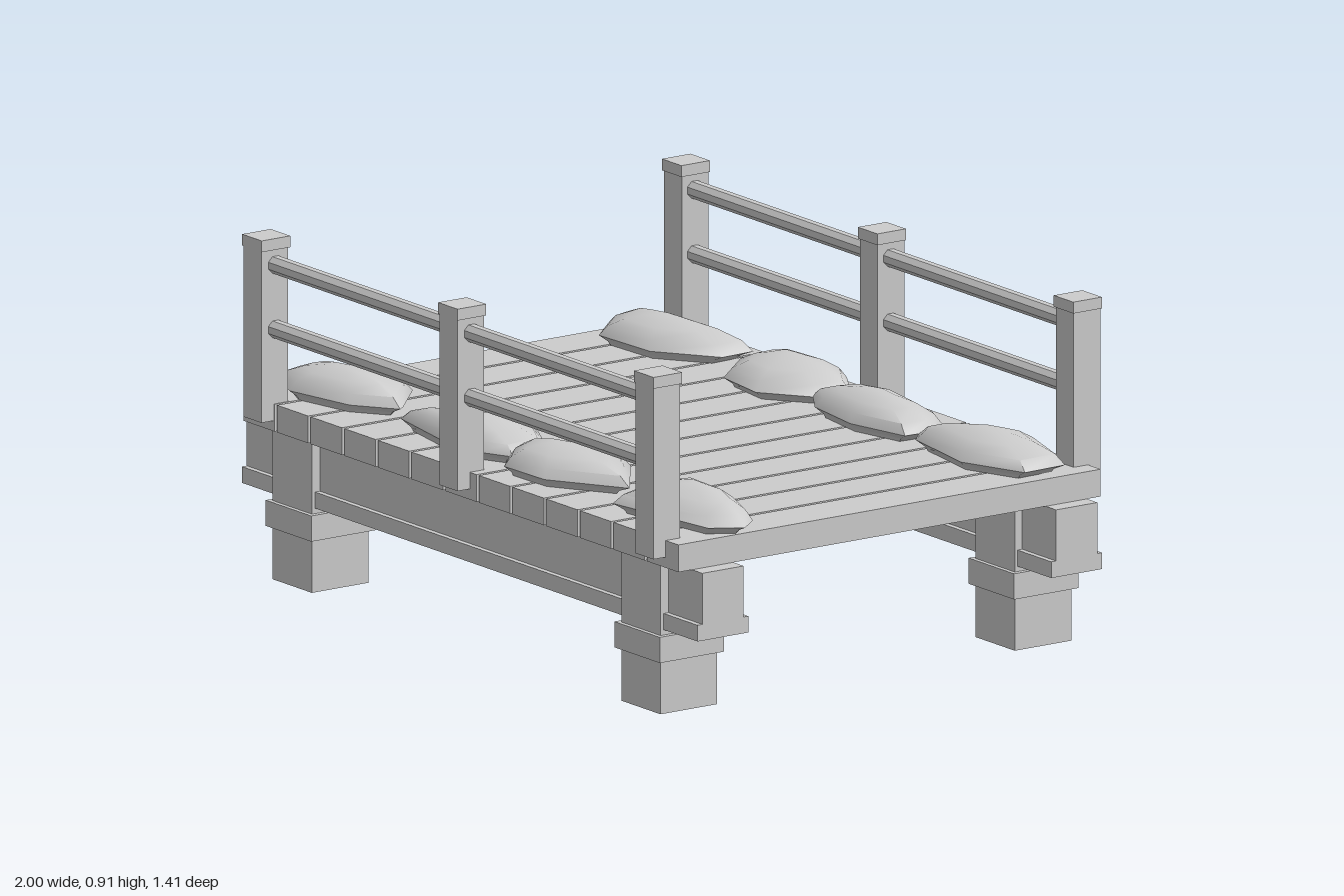
import * as THREE from 'three';
import { toCreasedNormals } from 'three/addons/utils/BufferGeometryUtils.js';

const stone = new THREE.MeshStandardMaterial({ color: 0xcccccc });
stone.name = 'plain grey';

function add(parent, name, geometry, x = 0, y = 0, z = 0) {
  const mesh = new THREE.Mesh(geometry, stone);
  mesh.name = name;
  mesh.position.set(x, y, z);
  parent.add(mesh);
  return mesh;
}

// Box given by its centre in x and z, and its bottom and top heights
function block(parent, name, w, d, y0, y1, x, z) {
  return add(parent, name, new THREE.BoxGeometry(w, y1 - y0, d), x, (y0 + y1) / 2, z);
}

// Lumpy cushion: its outline scaled through a domed stack of rings
function cushionGeometry(outline) {
  const pts = [...outline].reverse();
  const n = pts.length;
  const cx = pts.reduce((s, p) => s + p[0], 0) / n;
  const cz = pts.reduce((s, p) => s + p[1], 0) / n;
  const rings = [[0.472, 0.82], [0.482, 0.86], [0.497, 1], [0.522, 0.87], [0.543, 0.6], [0.555, 0.3]];
  const pos = [];
  const index = [];
  for (const [y, s] of rings) {
    for (const [x, z] of pts) pos.push(cx + (x - cx) * s, y, cz + (z - cz) * s);
  }
  const bottom = rings.length * n;
  const top = bottom + 1;
  pos.push(cx, 0.472, cz, cx, 0.559, cz);
  for (let j = 0; j < n; j++) {
    const k = (j + 1) % n;
    for (let i = 0; i < rings.length - 1; i++) {
      const a = i * n + j, b = i * n + k;
      index.push(a, b, b + n, a, b + n, a + n);
    }
    const last = (rings.length - 1) * n;
    index.push(bottom, k, j, top, last + j, last + k);
  }
  const g = new THREE.BufferGeometry();
  g.setAttribute('position', new THREE.Float32BufferAttribute(pos, 3));
  g.setIndex(index);
  return toCreasedNormals(g, 0.9);
}

// Cushion outlines as x, z points
const backCushions = [
  [[-0.94, -0.53], [-0.77, -0.58], [-0.465, -0.59], [-0.46, -0.49], [-0.62, -0.375], [-0.83, -0.365], [-0.92, -0.46]],
  [[-0.35, -0.61], [-0.26, -0.62], [-0.11, -0.63], [0.02, -0.55], [0.015, -0.45], [-0.12, -0.35], [-0.29, -0.37], [-0.37, -0.46], [-0.375, -0.55]],
  [[-0.01, -0.45], [0.02, -0.54], [0.17, -0.59], [0.42, -0.55], [0.47, -0.49], [0.465, -0.4], [0.28, -0.36], [0.09, -0.385]],
  [[0.465, -0.445], [0.6, -0.57], [0.75, -0.62], [0.945, -0.56], [0.95, -0.43], [0.765, -0.36], [0.51, -0.4]],
];
const frontCushions = [
  [[-0.96, 0.44], [-0.8, 0.395], [-0.65, 0.35], [-0.525, 0.47], [-0.51, 0.49], [-0.62, 0.57], [-0.83, 0.61], [-0.95, 0.56], [-0.97, 0.5]],
  [[-0.44, 0.535], [-0.37, 0.465], [-0.11, 0.34], [0.04, 0.42], [0.055, 0.54], [-0.04, 0.585], [-0.155, 0.595], [-0.43, 0.545]],
  [[0.005, 0.48], [0.06, 0.42], [0.3, 0.345], [0.49, 0.485], [0.29, 0.61], [0.12, 0.615], [0.04, 0.54]],
  [[0.535, 0.43], [0.57, 0.355], [0.8, 0.365], [0.94, 0.42], [0.99, 0.48], [0.94, 0.56], [0.59, 0.61], [0.53, 0.47]],
];

export function createModel() {
  const model = new THREE.Group();
  model.name = 'woodenDeck';

  // Deck planks
  const deck = new THREE.Group();
  deck.name = 'deck';
  model.add(deck);
  for (let i = 0; i < 13; i++) {
    block(deck, 'plank', 0.137, 1.33, 0.4, 0.472, (i - 6) * 0.1477, 0);
  }

  const railGeometry = toCreasedNormals(
    new THREE.CylinderGeometry(0.024, 0.024, 1.72, 8).rotateY(Math.PI / 8).rotateZ(Math.PI / 2), 0.5);

  for (const side of [1, -1]) {
    // Long beam with a wider lip along its bottom
    const zb = side * 0.557;
    block(model, 'beam', 2, 0.13, 0.225, 0.4, 0, zb);
    block(model, 'beamLip', 2, 0.16, 0.222, 0.265, 0, zb);

    // Legs with collars
    for (const sx of [1, -1]) {
      block(model, 'leg', 0.172, 0.178, 0, 0.4, sx * 0.765, side * 0.558);
      block(model, 'legCollar', 0.2, 0.202, 0.14, 0.208, sx * 0.765, side * 0.558);
    }

    // Railing
    const railing = new THREE.Group();
    railing.name = 'railing';
    model.add(railing);
    for (const x of [-0.86, 0, 0.86]) {
      block(railing, 'post', 0.078, 0.084, 0.428, 0.88, x, side * 0.662);
      block(railing, 'postCap', 0.086, 0.09, 0.88, 0.91, x, side * 0.661);
    }
    for (const y of [0.67, 0.84]) add(railing, 'rail', railGeometry, 0, y, side * 0.66);
  }

  // Seat cushions along both railings
  for (const outline of [...backCushions, ...frontCushions]) {
    add(model, 'cushion', cushionGeometry(outline));
  }
  return model;
}
